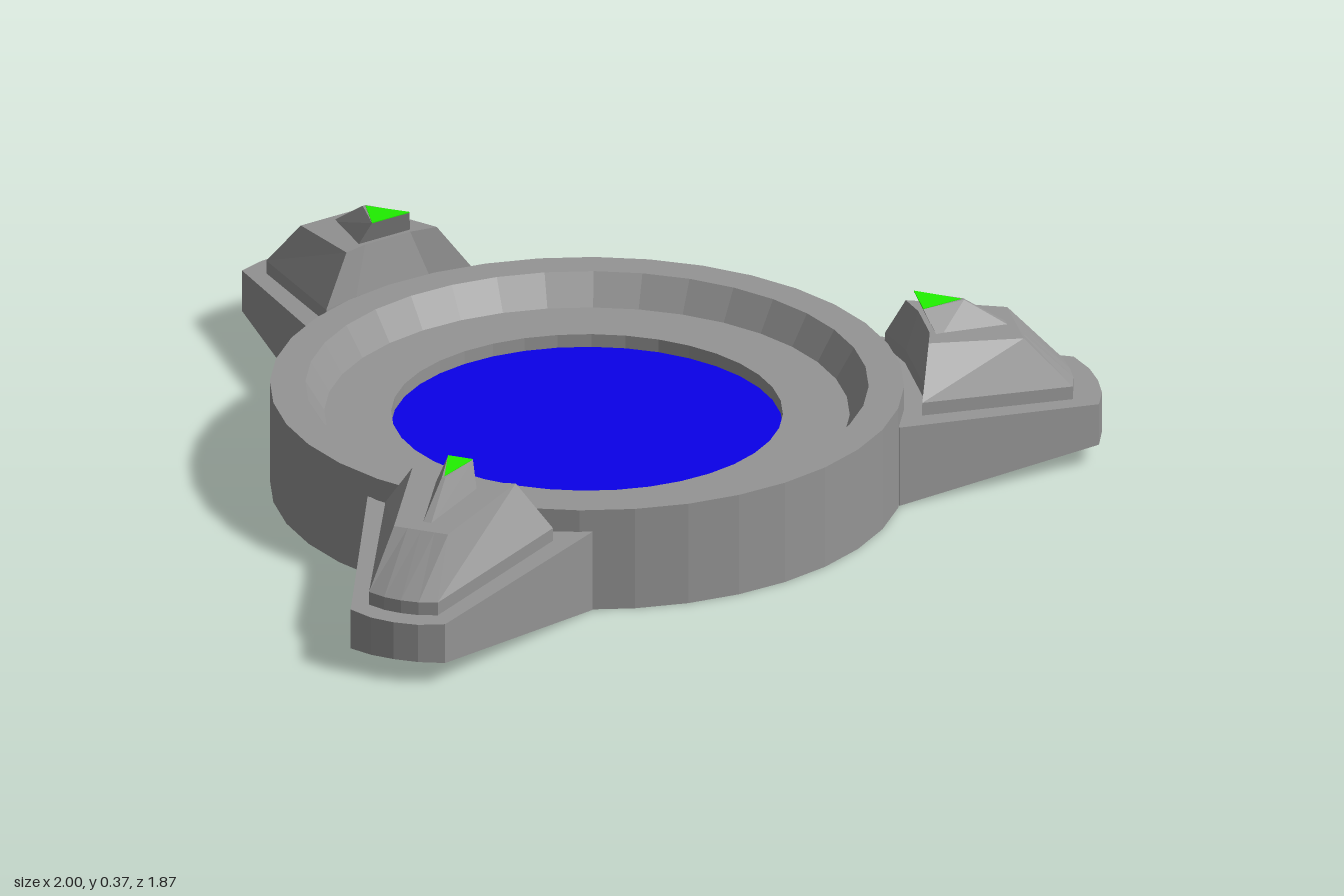
import * as THREE from 'three';

const grey = new THREE.MeshStandardMaterial({ color: 0x949494, flatShading: true });
const blue = new THREE.MeshStandardMaterial({ color: 0x0a00e8, flatShading: true });
const green = new THREE.MeshStandardMaterial({ color: 0x20f000, flatShading: true });

// Stacks outlines of [x, y, z] points (counterclockwise from above) into a closed solid
function loft(rings) {
  const n = rings[0].length, index = [], top = (rings.length - 1) * n;
  for (let k = 0; k < rings.length - 1; k++) {
    for (let i = 0; i < n; i++) {
      const a = k * n + i, b = k * n + (i + 1) % n;
      index.push(a, b, b + n, a, b + n, a + n);
    }
  }
  for (let i = 1; i < n - 1; i++) {
    index.push(0, i + 1, i, top, top + i, top + i + 1);
  }
  const g = new THREE.BufferGeometry();
  g.setAttribute('position', new THREE.Float32BufferAttribute(rings.flat(2), 3));
  g.setIndex(index);
  const flat = g.toNonIndexed();
  flat.computeVertexNormals();
  return flat;
}

// Mirrored outline: bulging outer edge, inner edge hollowed to follow the ring
function outline(innerW, innerR, hollow, outerW, outerR, bulge, height) {
  const half = [[outerW * 0.5, outerR + bulge * 0.8], [outerW, outerR],
    [innerW, innerR], [innerW * 0.5, innerR + hollow]];
  const mirrored = half.map(([x, r]) => [-x, r]).reverse();
  return [[0, outerR + bulge], ...half, ...mirrored].map(([x, r]) => [x, height(r), r]);
}

function add(parent, name, geometry, material) {
  const mesh = new THREE.Mesh(geometry, material);
  mesh.name = name;
  parent.add(mesh);
  return mesh;
}

const legTop = r => 0.185 - (r - 0.637) * 0.09;
const legBottom = r => Math.max(0, (r - 0.637) * 0.1);

// One arm reaching outwards along +z
function makeArm(name, angle, tipW, tipR, podW, podR, crestW, crestR) {
  const arm = new THREE.Group();
  arm.name = name;
  arm.rotation.y = angle;

  add(arm, 'legSlab', loft([
    outline(0.262, 0.637, 0, tipW, tipR, 0.026, legBottom),
    outline(0.262, 0.637, 0, tipW, tipR, 0.026, legTop),
  ]), grey);

  // Tapered housing with a short upright foot
  add(arm, 'housing', loft([
    outline(0.195, 0.7, 0.025, podW, podR, 0.015, r => legTop(r) - 0.02),
    outline(0.195, 0.702, 0.025, podW, podR, 0.015, r => legTop(r) + 0.03),
    outline(0.12, 0.732, 0.015, podW - 0.017, podR - 0.105, 0, r => 0.315 - (r - 0.735) * 0.1),
  ]), grey);

  // Pointed crest overhanging inwards, with a coloured top
  const w = crestW, r = crestR;
  const cap = y => [[w, y + 0.006, r], [-w, y + 0.006, r], [0, y, r + 0.095]];
  add(arm, 'crest', loft([
    [[w + 0.022, 0.3, r + 0.03], [-w - 0.022, 0.3, r + 0.03], [-0.01, 0.285, r + 0.21], [0.01, 0.285, r + 0.21]],
    [[w, 0.366, r], [-w, 0.366, r], [-0.004, 0.36, r + 0.1], [0.004, 0.36, r + 0.1]],
  ]), grey);
  add(arm, 'crestLight', loft([cap(0.3595), cap(0.3615)]), green);
  return arm;
}

export function createModel() {
  const model = new THREE.Group();
  model.name = 'threeLeggedPad';
  const pad = new THREE.Group();
  pad.name = 'pad';
  pad.position.z = -0.222;
  model.add(pad);

  // Round body with bevelled rim, shelf and central well
  const profile = [[0, 0], [0.688, 0], [0.688, 0.235], [0.611, 0.235],
    [0.57, 0.167], [0.425, 0.167], [0.425, 0.135]].map(([x, y]) => new THREE.Vector2(x, y));
  add(pad, 'ringBody', new THREE.LatheGeometry(profile, 36), grey);

  const disc = add(pad, 'centreDisc', new THREE.CircleGeometry(0.426, 36), blue);
  disc.rotation.x = -Math.PI / 2;
  disc.position.y = 0.137;

  // Front arm is a little longer and slimmer than the rear pair
  const rear = THREE.MathUtils.degToRad(123.3);
  pad.add(makeArm('frontArm', 0, 0.11, 1.127, 0.08, 1.094, 0.029, 0.754));
  pad.add(makeArm('rearLeftArm', rear, 0.132, 1.107, 0.104, 1.055, 0.05, 0.735));
  pad.add(makeArm('rearRightArm', -rear, 0.132, 1.107, 0.104, 1.055, 0.05, 0.735));
  return model;
}
